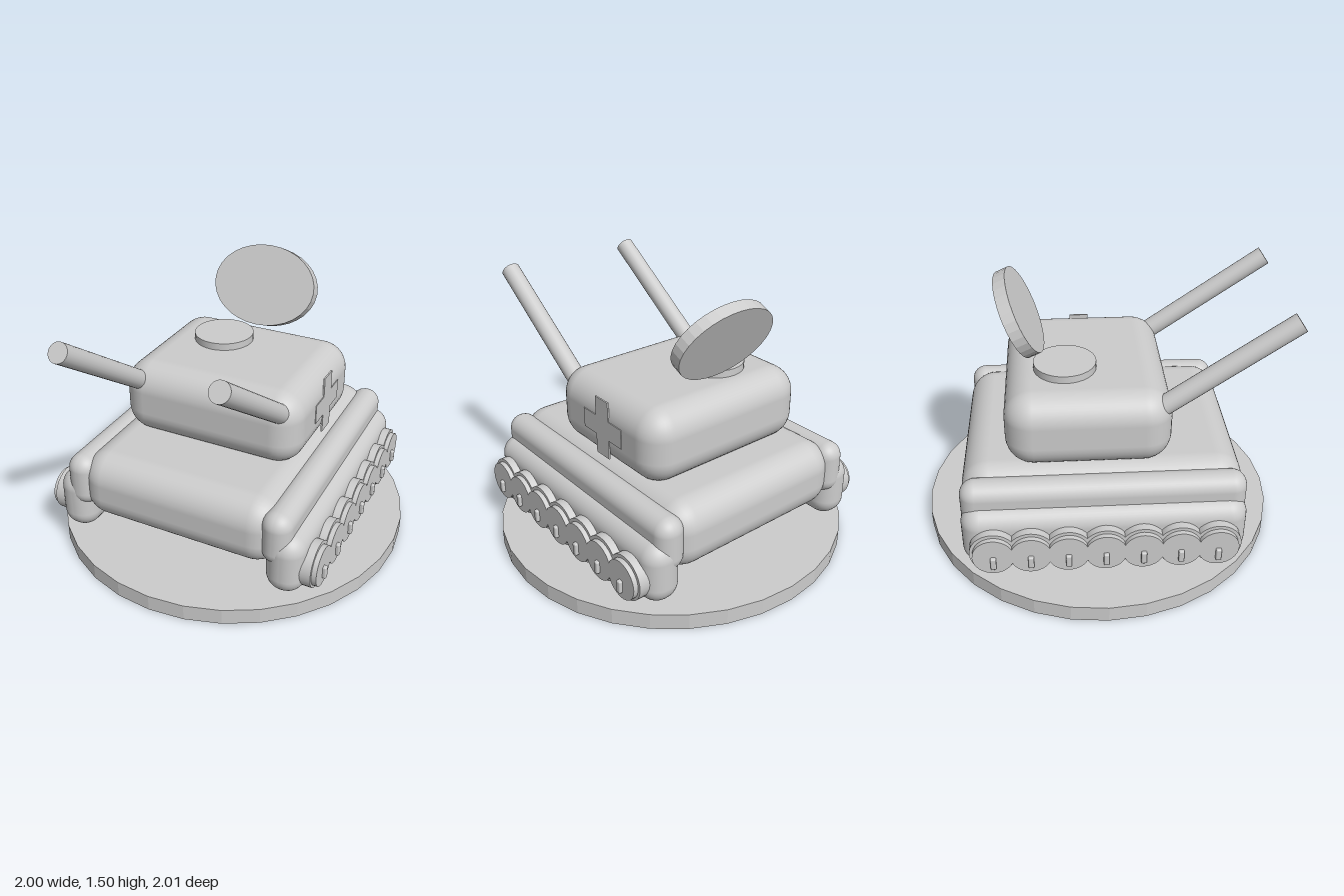
import * as THREE from 'three';
import { RoundedBoxGeometry } from 'three/addons/geometries/RoundedBoxGeometry.js';

export function createModel() {
  const model = new THREE.Group();
  const grey = new THREE.MeshStandardMaterial({ color: 0xcccccc });
  grey.name = 'plain grey';

  const add = (name, geometry, x, y, z, parent = model) => {
    const mesh = new THREE.Mesh(geometry, grey);
    mesh.name = name;
    mesh.position.set(x, y, z);
    parent.add(mesh);
    return mesh;
  };
  const rounded = (w, h, d, r) => new RoundedBoxGeometry(w, h, d, 5, r);
  // Cylinder with a faceted rim
  const faceted = (r, h, n) => {
    const g = new THREE.CylinderGeometry(r, r, h, n).toNonIndexed();
    g.computeVertexNormals();
    return g;
  };

  // Round display base
  add('base', faceted(1, 0.09, 32), 0, 0.045, 0);

  // Body
  add('hull', rounded(1.16, 0.385, 1.506, 0.15), 0, 0.4325, 0);
  add('turret', rounded(1.046, 0.42, 0.88, 0.15), 0, 0.805, -0.07);
  add('hatch', new THREE.CylinderGeometry(0.168, 0.168, 0.06, 32), -0.15, 1.025, -0.183);

  // Tilted oval dish
  const dishShape = faceted(1, 0.07, 32);
  dishShape.scale(0.305, 1, 0.228);
  dishShape.computeVertexNormals();
  add('dish', dishShape, 0, 1.276, -0.416).rotation.x = 1.138;

  // Cross plate on the left side of the turret
  const a = 0.055, b = 0.165;
  const cross = new THREE.Shape([
    [-a, -b], [a, -b], [a, -a], [b, -a], [b, a], [a, a],
    [a, b], [-a, b], [-a, a], [-b, a], [-b, -a], [-a, -a],
  ].map(([x, y]) => new THREE.Vector2(x, y)));
  const plate = new THREE.ExtrudeGeometry(cross, { depth: 0.009, bevelEnabled: false });
  add('crossPlate', plate, 0.518, 0.815, -0.083).rotation.y = Math.PI / 2;

  // Mirrored running gear and guns
  for (const side of [-1, 1]) {
    const gear = new THREE.Group();
    gear.name = side > 0 ? 'leftSide' : 'rightSide';
    model.add(gear);

    add('fender', rounded(0.165, 0.3, 1.506, 0.08), side * 0.573, 0.45, 0, gear);
    add('track', rounded(0.21, 0.35, 1.506, 0.1), side * 0.618, 0.305, 0, gear);

    // Seven stepped wheels with a small bolt on each
    for (let i = 0; i < 7; i++) {
      const z = (3 - i) * 0.195;
      const rim = add('wheel', new THREE.CylinderGeometry(0.124, 0.124, 0.1, 32), side * 0.715, 0.275, z, gear);
      const cap = add('wheelCap', new THREE.CylinderGeometry(0.108, 0.108, 0.06, 32), side * 0.761, 0.272, z, gear);
      rim.rotation.z = cap.rotation.z = Math.PI / 2;
      add('wheelBolt', rounded(0.04, 0.072, 0.03, 0.008), side * 0.79, 0.237, z, gear);
    }

    // Raised gun barrel
    const barrel = add('gunBarrel', new THREE.CylinderGeometry(0.053, 0.053, 0.82, 24),
      side * 0.413, 1.148, 0.642, gear);
    barrel.rotation.x = Math.atan2(0.672, 0.469);
  }
  return model;
}
